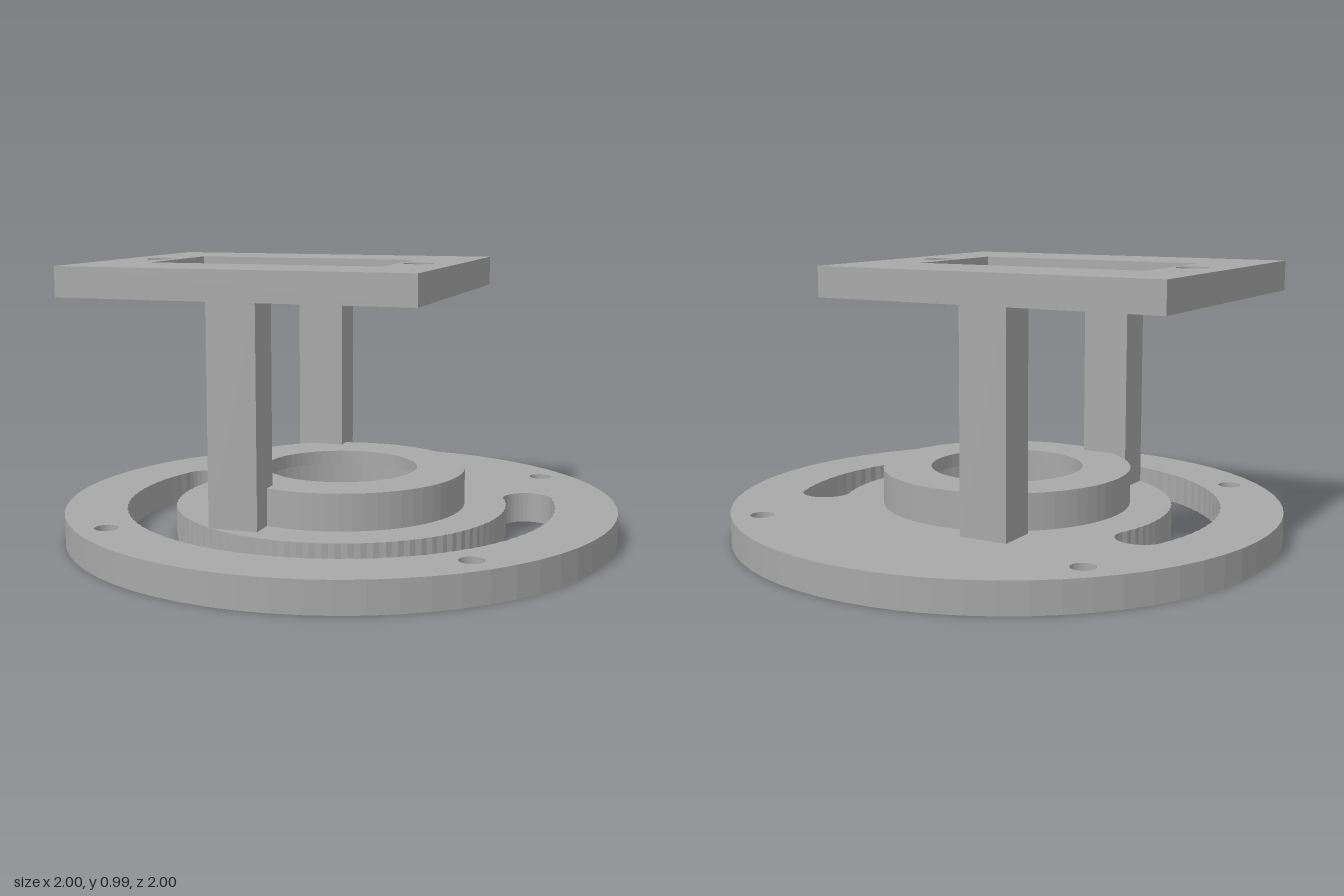
import * as THREE from 'three';

const rad = THREE.MathUtils.degToRad;

// Path of a full circle, for outlines and holes
function circle(Type, x, y, r) {
  const p = new Type();
  p.absarc(x, y, r, 0, Math.PI * 2, false);
  return p;
}

// Rectangle outline, for plates and windows
function rect(Type, x0, x1, halfZ) {
  return new Type([[x0, -halfZ], [x1, -halfZ], [x1, halfZ], [x0, halfZ]]
    .map(([x, y]) => new THREE.Vector2(x, y)));
}

// Long curved slot with rounded ends and finely ridged walls
function curvedSlot() {
  const mid = 0.69, half = 0.09, from = 20, to = -200, steps = 110;
  const pts = [];
  const polar = (r, deg) => new THREE.Vector2(r * Math.cos(rad(deg)), r * Math.sin(rad(deg)));
  const wall = (side, a, b) => {
    for (let i = 0; i <= steps; i++) {
      const ridge = i % 2 ? 0.0035 : 0;
      pts.push(polar(mid + side * (half - ridge), a + (b - a) * i / steps));
    }
  };
  const cap = (deg, start) => {
    for (let i = 1; i < 16; i++) {
      pts.push(polar(mid, deg).add(polar(half, start - 180 * i / 16)));
    }
  };
  wall(1, from, to);
  cap(to, to);
  wall(-1, to, from);
  cap(from, from + 180);
  return new THREE.Path(pts);
}

// Horizontal slab between two heights
function slab(shape, y0, y1) {
  const g = new THREE.ExtrudeGeometry(shape, { depth: y1 - y0, bevelEnabled: false, curveSegments: 32 });
  g.rotateX(-Math.PI / 2);
  g.translate(0, y0, 0);
  return g;
}

export function createModel() {
  const model = new THREE.Group();
  model.name = 'slottedMount';
  const grey = new THREE.MeshStandardMaterial({ color: 0xa8a8a8 });
  grey.name = 'plain grey';
  const add = (name, geometry) => {
    const mesh = new THREE.Mesh(geometry, grey);
    mesh.name = name;
    model.add(mesh);
    return mesh;
  };

  // Base disc in two layers: wide screw recesses below, narrow holes above
  const discLayer = (screwRadius) => {
    const disc = circle(THREE.Shape, 0, 0, 1);
    disc.holes.push(circle(THREE.Path, 0, 0, 0.355), curvedSlot());
    for (const x of [-0.63, 0.63]) {
      for (const y of [-0.63, 0.63]) disc.holes.push(circle(THREE.Path, x, y, screwRadius));
    }
    return disc;
  };
  add('baseDiscLower', slab(discLayer(0.075), 0, 0.05));
  add('baseDiscUpper', slab(discLayer(0.042), 0.05, 0.11));

  // Raised hub with an inner lip at its top
  const ring = (inner) => {
    const s = circle(THREE.Shape, 0, 0, 0.452);
    s.holes.push(circle(THREE.Path, 0, 0, inner));
    return s;
  };
  add('hubWall', slab(ring(0.355), 0.11, 0.19));
  add('hubLip', slab(ring(0.277), 0.19, 0.24));

  // Two posts carrying the top plate
  for (const side of [1, -1]) {
    const post = add(side > 0 ? 'frontPost' : 'backPost', new THREE.BoxGeometry(0.176, 0.77, 0.144));
    post.position.set(-0.212, 0.495, side * 0.454);
  }

  // Top plate with window and two screw holes
  const plate = rect(THREE.Shape, -0.85, 0.428, 0.543);
  plate.holes.push(
    rect(THREE.Path, -0.64, 0.215, 0.228),
    circle(THREE.Path, -0.71, 0, 0.056),
    circle(THREE.Path, 0.287, 0, 0.056)
  );
  add('topPlate', slab(plate, 0.878, 0.985));

  return model;
}
